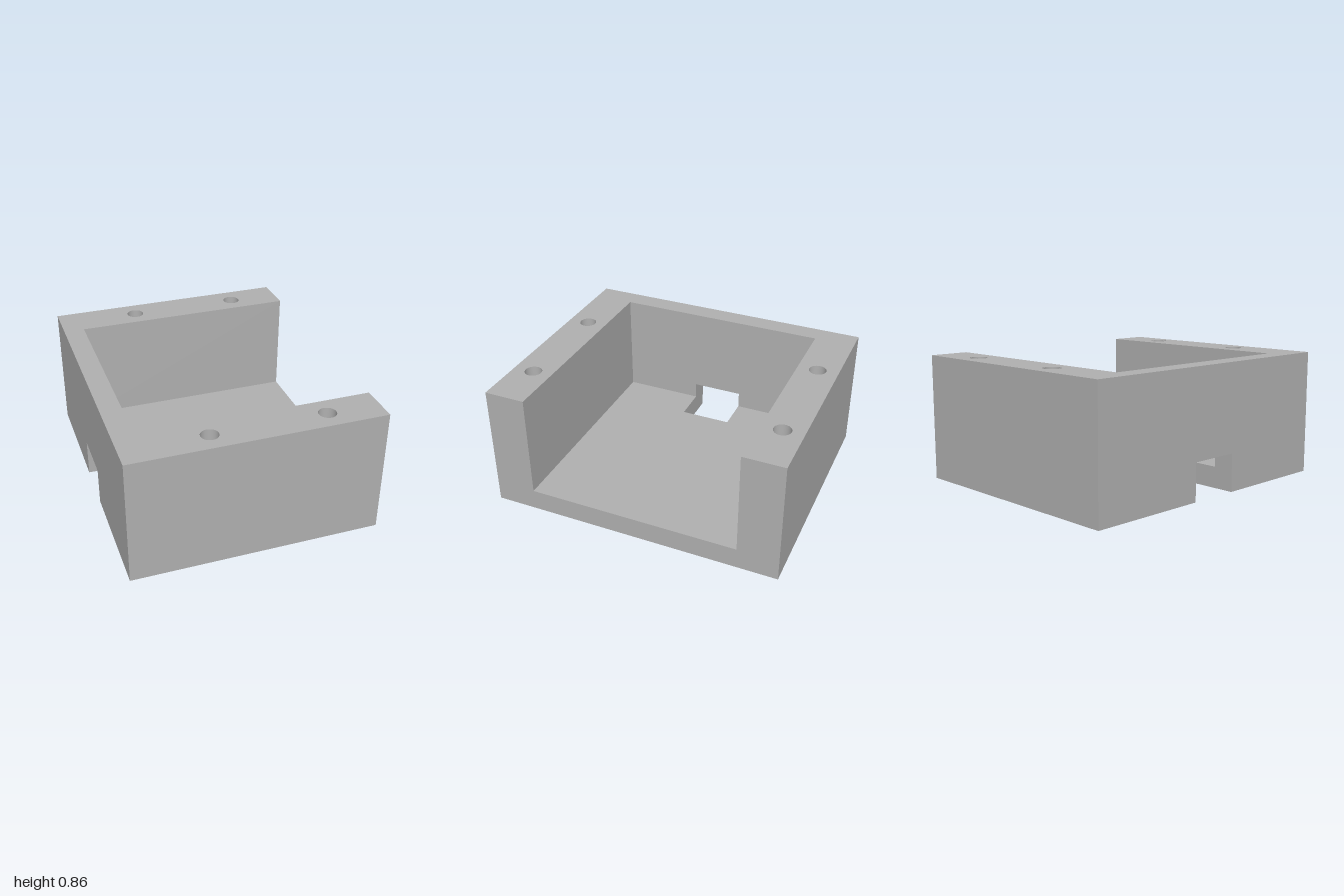
import * as THREE from 'three';
import { mergeGeometries } from 'three/addons/utils/BufferGeometryUtils.js';

// Overall half sizes, cavity limits, notch limits
const W = 0.83, D = 1, H = 0.855;
const IX = -0.69, IZ = 0.724, F = 0.145;
const NX = -0.45, NZ = 0.176, NY = 0.257;
const R = 0.058;
const HOLES = [-0.275, 0.48].flatMap((x) => [[x, 0.86], [x, -0.86]]);

const X = new THREE.Vector3(1, 0, 0);
const Y = new THREE.Vector3(0, 1, 0);
const Z = new THREE.Vector3(0, 0, 1);

// Flat face: outline in (u, v) coordinates, facing u cross v, shifted along its plane's axis
function face(u, v, origin, outline, holes = []) {
  const shape = new THREE.Shape(outline.map(([a, b]) => new THREE.Vector2(a, b)));
  for (const [a, b] of holes) {
    shape.holes.push(new THREE.Path().absarc(a, b, R, 0, Math.PI * 2, true));
  }
  const n = new THREE.Vector3().crossVectors(u, v);
  const m = new THREE.Matrix4().makeBasis(u, v, n).setPosition(...origin);
  return new THREE.ShapeGeometry(shape, 16).applyMatrix4(m);
}
const rect = (a0, b0, a1, b1) => [[a0, b0], [a1, b0], [a1, b1], [a0, b1]];
const swap = (pts) => pts.map(([a, b]) => [b, a]);

export function createModel() {
  const group = new THREE.Group();
  group.name = 'openBracketBox';
  const grey = new THREE.MeshStandardMaterial({ color: 0xb0b0b0 });
  grey.name = 'grey';
  const negX = X.clone().negate();
  const add = (name, parts) => {
    const mesh = new THREE.Mesh(mergeGeometries(parts), grey);
    mesh.name = name;
    group.add(mesh);
  };

  // Underside and cavity floor, both cut by the notch
  const plan = (x0, z) => [[x0, -z], [W, -z], [W, z], [x0, z], [x0, NZ], [NX, NZ], [NX, -NZ], [x0, -NZ]];
  add('base', [
    face(X, Z, [0, 0, 0], plan(-W, D), HOLES),
    face(Z, X, [0, F, 0], swap(plan(IX, IZ))),
  ]);

  // C-shaped top rim
  const rim = [[-W, -D], [W, -D], [W, -IZ], [IX, -IZ], [IX, IZ], [W, IZ], [W, D], [-W, D]];
  add('rim', [face(Z, X, [0, H, 0], swap(rim), swap(HOLES))]);

  // Front and back walls, outside and inside
  add('sideWalls', [
    face(X, Y, [0, 0, D], rect(-W, 0, W, H)),
    face(negX, Y, [0, 0, -D], rect(-W, 0, W, H)),
    face(X, Y, [0, 0, -IZ], rect(IX, F, W, H)),
    face(negX, Y, [0, 0, IZ], rect(-W, F, -IX, H)),
  ]);

  // U-shaped open end
  const openEnd = [[0, -D], [H, -D], [H, -IZ], [F, -IZ], [F, IZ], [H, IZ], [H, D], [0, D]];
  add('openEnd', [face(Y, Z, [W, 0, 0], openEnd)]);

  // Closed end wall with the notch through it
  const endWall = (y0, z) => [[-z, y0], [-NZ, y0], [-NZ, NY], [NZ, NY], [NZ, y0], [z, y0], [z, H], [-z, H]];
  add('endWall', [
    face(Z, Y, [-W, 0, 0], endWall(0, D)),
    face(Y, Z, [IX, 0, 0], swap(endWall(F, IZ))),
  ]);

  // Notch lining: ceiling, end and two L-shaped cheeks
  const cheek = [[-W, 0], [NX, 0], [NX, F], [IX, F], [IX, NY], [-W, NY]];
  add('notch', [
    face(X, Z, [0, NY, 0], rect(-W, -NZ, IX, NZ)),
    face(Z, Y, [NX, 0, 0], rect(-NZ, 0, NZ, F)),
    face(X, Y, [0, 0, -NZ], cheek),
    face(negX, Y, [0, 0, NZ], cheek.map(([x, y]) => [-x, y])),
  ]);

  // Screw hole bores, facing inwards
  add('screwHoles', HOLES.map(([x, z]) =>
    new THREE.LatheGeometry([new THREE.Vector2(R, H), new THREE.Vector2(R, 0)], 32).translate(x, 0, z)));

  return group;
}
